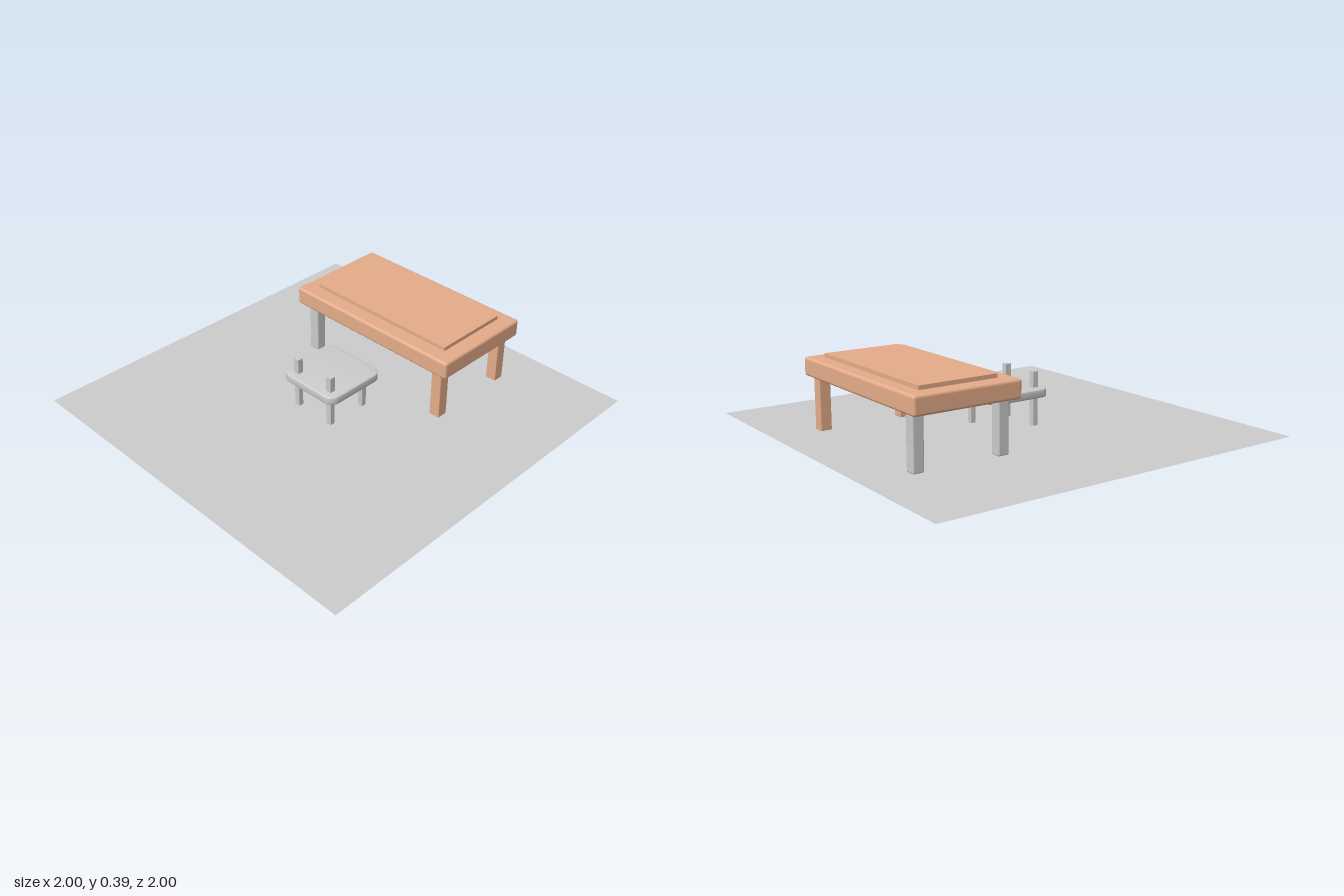
import * as THREE from 'three';
import { RoundedBoxGeometry } from 'three/addons/geometries/RoundedBoxGeometry.js';
import { toCreasedNormals } from 'three/addons/utils/BufferGeometryUtils.js';

const grey = new THREE.MeshStandardMaterial({ color: 0xcccccc });
const wood = new THREE.MeshStandardMaterial({ color: 0xe5ac89 });

// Box given by its min and max corners, with optionally rounded edges
function block(name, [x0, y0, z0], [x1, y1, z1], material, radius = 0) {
  const size = [x1 - x0, y1 - y0, z1 - z0];
  const geometry = radius
    ? new RoundedBoxGeometry(...size, 3, radius)
    : new THREE.BoxGeometry(...size);
  const mesh = new THREE.Mesh(geometry, material);
  mesh.name = name;
  mesh.position.set((x0 + x1) / 2, (y0 + y1) / 2, (z0 + z1) / 2);
  return mesh;
}

// Square upright standing at x, z
function post(name, x, z, width, y0, y1, material, radius) {
  const h = width / 2;
  return block(name, [x - h, y0, z - h], [x + h, y1, z + h], material, radius);
}

function createFloor() {
  const material = grey.clone();
  material.side = THREE.DoubleSide;
  const floor = new THREE.Mesh(new THREE.PlaneGeometry(2, 2), material);
  floor.name = 'floor';
  floor.rotation.x = -Math.PI / 2;
  floor.position.y = 0.012;
  return floor;
}

function createTable() {
  const table = new THREE.Group();
  table.name = 'table';
  table.add(
    block('tableTop', [0.225, 0.274, -0.506], [0.785, 0.367, 0.503], wood, 0.014),
    block('topPanel', [0.305, 0.36, -0.428], [0.712, 0.387, 0.424], wood),
  );
  // The front pair of legs is wood, the back pair grey
  for (const x of [0.285, 0.73]) {
    table.add(post('frontTableLeg', x, 0.425, 0.058, 0.01, 0.285, wood, 0.004));
    table.add(post('backTableLeg', x, -0.422, 0.058, 0.01, 0.285, grey, 0.008));
  }
  return table;
}

// Seat outline: square with rounded corners
function seatGeometry(half, r, height, bevel) {
  const s = new THREE.Shape();
  const a = half - bevel, c = a - r;
  s.absarc(c, c, r, 0, Math.PI / 2);
  s.absarc(-c, c, r, Math.PI / 2, Math.PI);
  s.absarc(-c, -c, r, Math.PI, Math.PI * 1.5);
  s.absarc(c, -c, r, Math.PI * 1.5, Math.PI * 2);
  const geometry = new THREE.ExtrudeGeometry(s, {
    depth: height - 2 * bevel, bevelThickness: bevel, bevelSize: bevel,
    bevelSegments: 3, curveSegments: 8,
  });
  geometry.rotateX(-Math.PI / 2).translate(0, bevel, 0);
  return toCreasedNormals(geometry, 0.6);
}

function createChair() {
  const chair = new THREE.Group();
  chair.name = 'chair';
  const seat = new THREE.Mesh(seatGeometry(0.174, 0.045, 0.044, 0.007), grey);
  seat.name = 'seat';
  seat.position.set(-0.025, 0.161, -0.003);
  chair.add(seat);
  // Legs, with the rear uprights rising above the seat
  for (const z of [-0.113, 0.109]) {
    chair.add(
      post('chairFrontLeg', 0.073, z, 0.03, 0.009, 0.17, grey, 0.004),
      post('chairBackLeg', -0.145, z, 0.03, 0, 0.17, grey, 0.004),
      post('backPost', -0.145, z, 0.03, 0.195, 0.285, grey),
    );
  }
  return chair;
}

export function createModel() {
  const model = new THREE.Group();
  model.name = 'tableAndChair';
  model.add(createFloor(), createTable(), createChair());
  return model;
}
